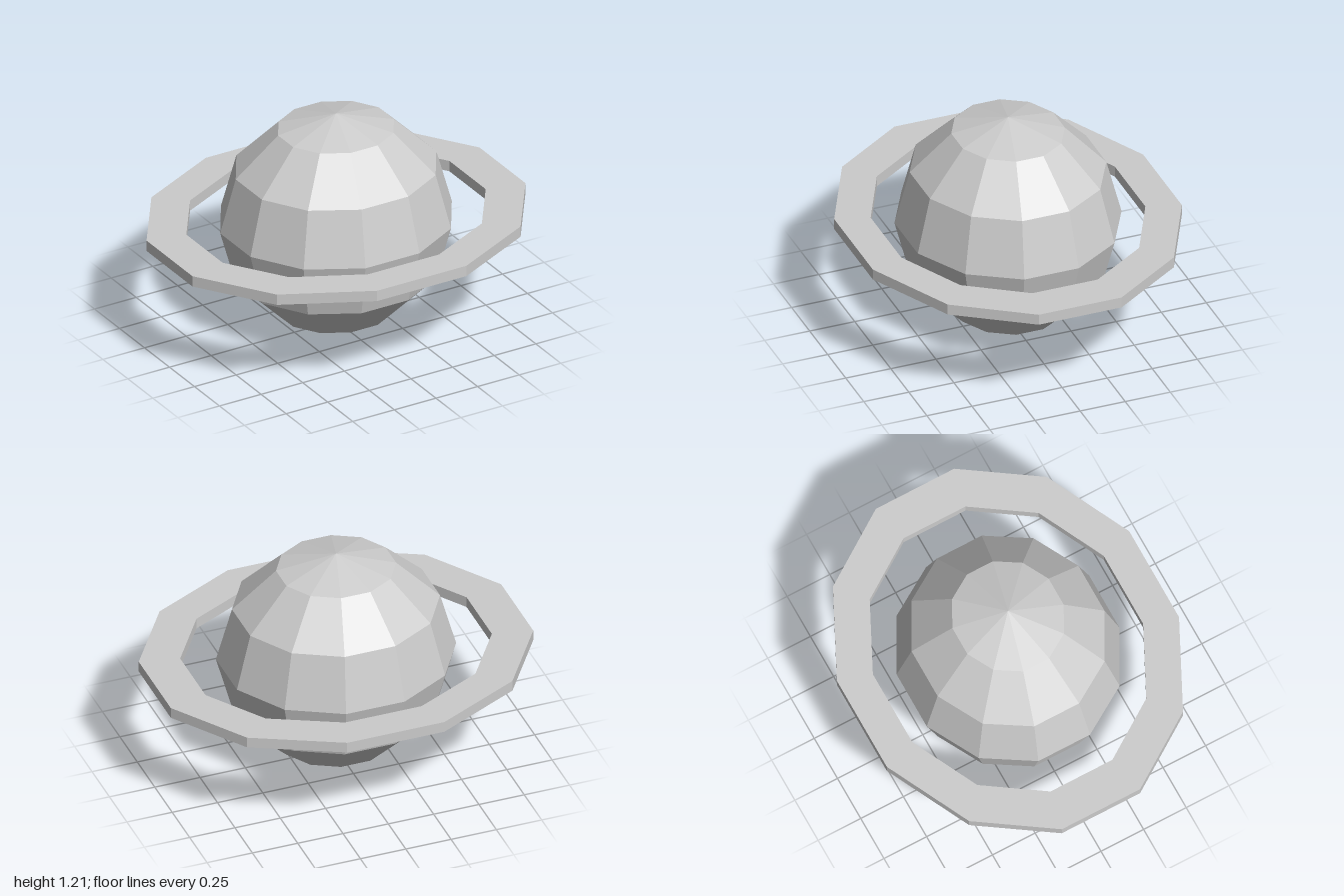
import * as THREE from 'three';

const SIDES = 12;
const HALF_STEP = Math.PI / SIDES; // turns a flat facet towards each axis
const CENTRE_Y = 0.603;

export function createModel() {
  const model = new THREE.Group();
  model.name = 'ringedPlanet';
  const material = new THREE.MeshStandardMaterial({ color: 0xcccccc, flatShading: true });

  // Faceted globe, slightly squashed front to back
  const globe = new THREE.SphereGeometry(1, SIDES, 6);
  globe.rotateY(HALF_STEP);
  globe.scale(0.626, CENTRE_Y, 0.585);
  const planet = new THREE.Mesh(globe, material);
  planet.name = 'planet';
  planet.position.y = CENTRE_Y;

  // Flat ring: a closed rectangular section swept round the globe
  const inner = 0.818, outer = 1.0353, half = 0.03;
  const section = [
    [inner, -half], [outer, -half], [outer, half], [inner, half], [inner, -half],
  ].map(([x, y]) => new THREE.Vector2(x, y));
  const band = new THREE.LatheGeometry(section, SIDES, HALF_STEP);
  band.scale(1, 1, 0.857);
  const ring = new THREE.Mesh(band, material);
  ring.name = 'ring';
  ring.position.y = CENTRE_Y;

  model.add(planet, ring);
  return model;
}
